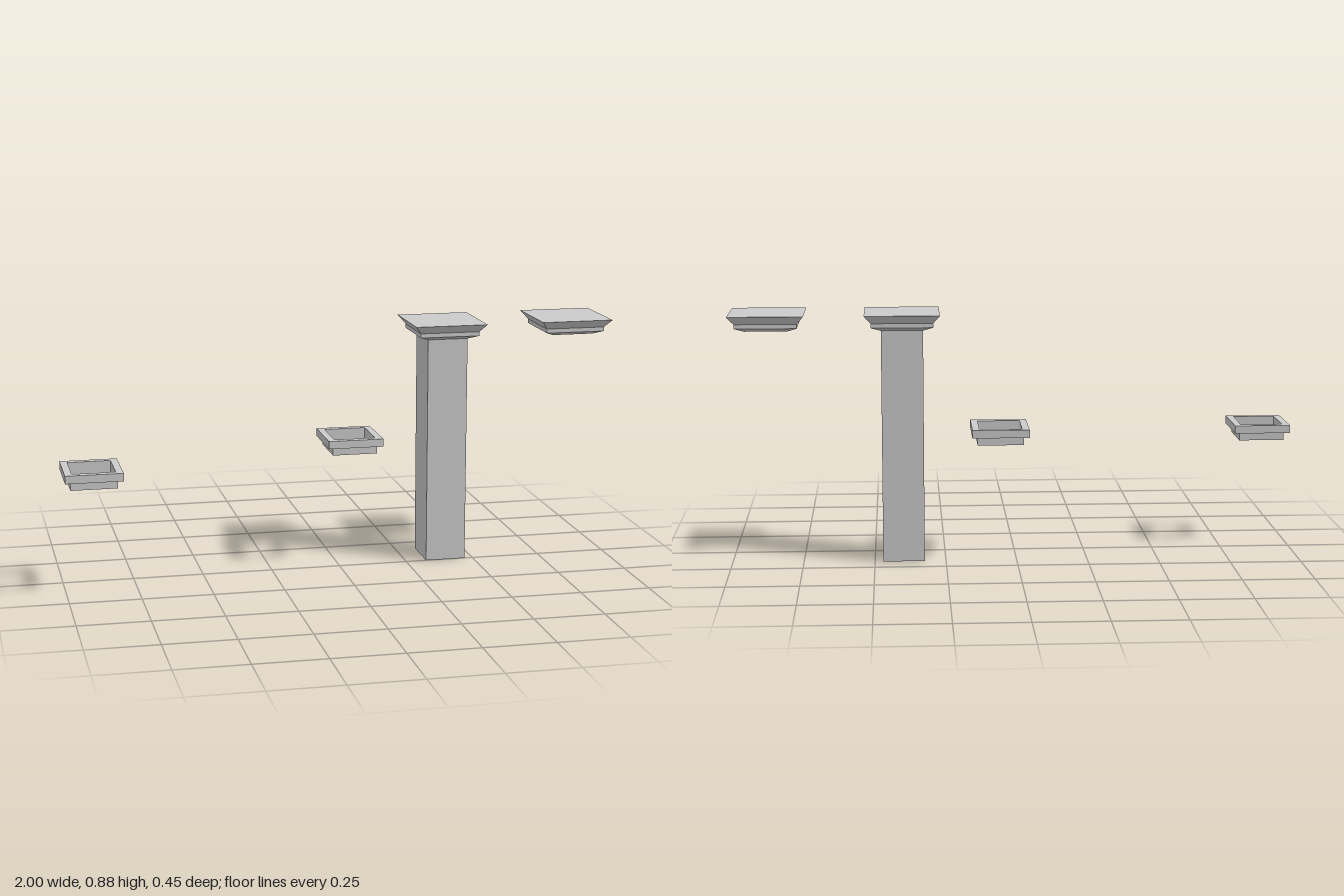
import * as THREE from 'three';

const material = new THREE.MeshStandardMaterial({ color: 0xcccccc, flatShading: true });

// Skins rectangular sections [y, half width x, half depth z] in order.
function loftRects(sections) {
  const corners = [[1, 1], [1, -1], [-1, -1], [-1, 1]];
  const point = ([y, hx, hz], k) => {
    const [sx, sz] = corners[k % 4];
    return [sx * hx, y, sz * hz];
  };
  const positions = [];
  for (let i = 0; i < sections.length - 1; i++) {
    for (let k = 0; k < 4; k++) {
      const a = point(sections[i], k), b = point(sections[i], k + 1);
      const c = point(sections[i + 1], k + 1), d = point(sections[i + 1], k);
      // Sections of zero size close the ends with single triangles
      if (sections[i][1] > 0) positions.push(...a, ...b, ...c);
      if (sections[i + 1][1] > 0) positions.push(...a, ...c, ...d);
    }
  }
  const geometry = new THREE.BufferGeometry();
  geometry.setAttribute('position', new THREE.Float32BufferAttribute(positions, 3));
  geometry.computeVertexNormals();
  return geometry;
}

// Solid capital: flared foot, straight band, flared top slab
const capitalGeometry = loftRects([
  [0.82, 0, 0], [0.82, 0.075, 0.084],
  [0.833, 0.108, 0.113], [0.848, 0.108, 0.113],
  [0.877, 0.131, 0.14], [0.877, 0, 0],
]);

// Two-tier collar with a straight rectangular opening, starting at y = 0
const collarGeometry = loftRects([
  [0, 0.075, 0.0855], [0, 0.081, 0.0905],
  [0.029, 0.081, 0.0905], [0.029, 0.1, 0.1115],
  [0.057, 0.1, 0.1115], [0.057, 0.075, 0.0855],
  [0.029, 0.075, 0.0855], [0, 0.075, 0.0855],
]);

export function createModel() {
  const model = new THREE.Group();
  model.name = 'columnKit';
  const add = (name, geometry, x, y, z) => {
    const mesh = new THREE.Mesh(geometry, material);
    mesh.name = name;
    mesh.position.set(x, y, z);
    model.add(mesh);
  };

  // Assembled column
  add('columnShaft', new THREE.BoxGeometry(0.146, 0.82, 0.167), 0.398, 0.41, -0.084);
  add('columnCapital', capitalGeometry, 0.398, 0, -0.084);

  // Loose parts laid out beside it
  add('looseCapital', capitalGeometry, 0.867, 0, -0.084);
  add('innerCollar', collarGeometry, 0.056, 0.414, -0.0845);
  add('outerCollar', collarGeometry, -0.9, 0.386, 0.1155);

  return model;
}
